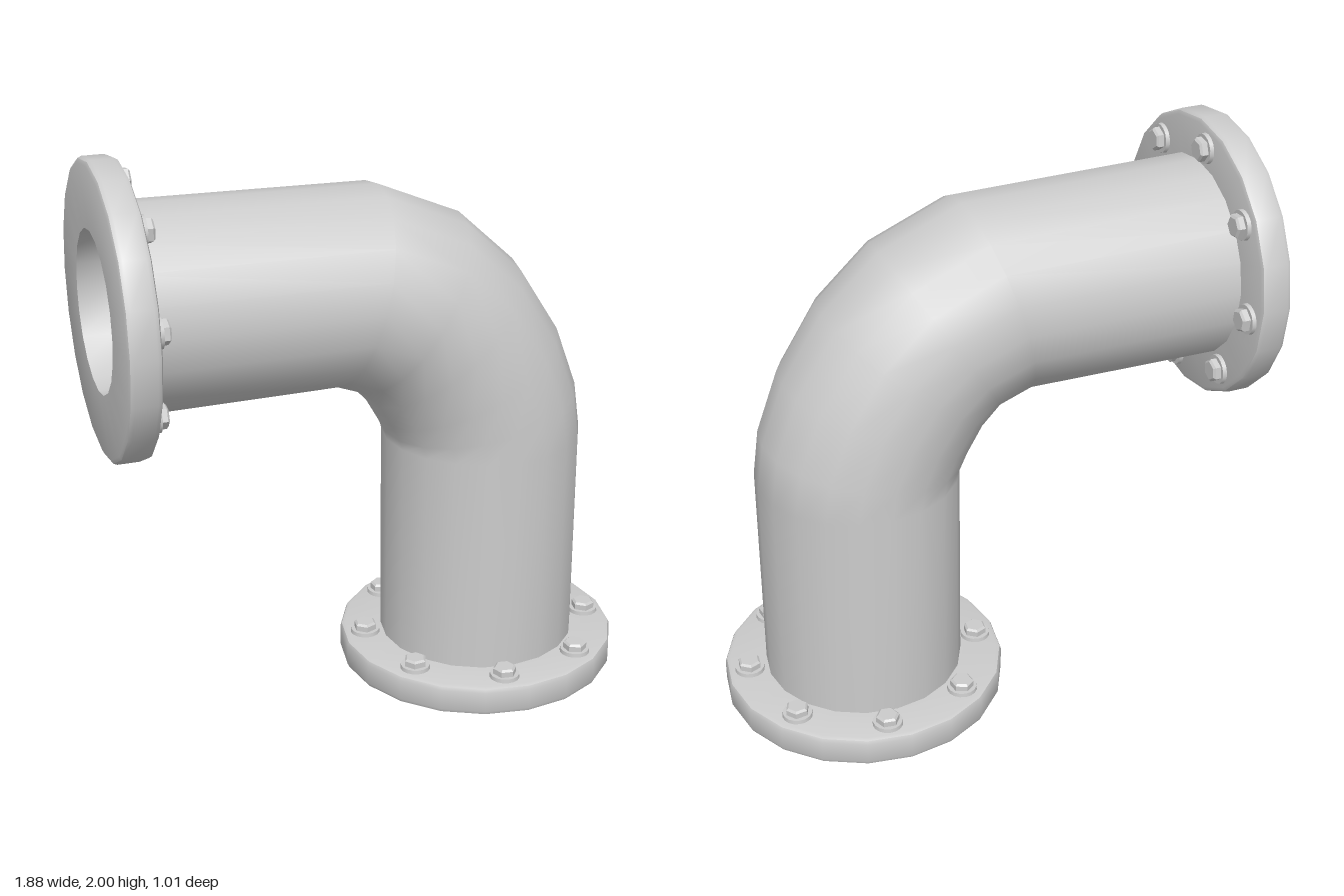
import * as THREE from 'three';
import { toCreasedNormals } from 'three/addons/utils/BufferGeometryUtils.js';

const SIDES = 20;
const steel = new THREE.MeshStandardMaterial({ color: 0xcccccc });
const thinSteel = new THREE.MeshStandardMaterial({ color: 0xcccccc, side: THREE.DoubleSide });
const facetedSteel = new THREE.MeshStandardMaterial({ color: 0xcccccc, flatShading: true });

function part(name, geometry, material, y = 0) {
  const mesh = new THREE.Mesh(geometry, material);
  mesh.name = name;
  mesh.position.y = y;
  return mesh;
}

// Elbow pipe: each section runs from the outside to the inside of the bend
function pipeGeometry() {
  const sections = [
    [0.788, 0.06, 0.078, 0.06],
    [0.788, 0.90, 0.078, 0.90],
    [0.765, 1.07, 0.07, 0.93],
    [0.685, 1.29, 0.045, 0.98],
    [0.54, 1.52, 0.0, 1.06],
    [0.335, 1.71, -0.05, 1.115],
    [0.04, 1.835, -0.145, 1.15],
    [-0.88, 1.85, -0.88, 1.14],
  ];
  const positions = [];
  const index = [];
  sections.forEach(([ox, oy, ix, iy], i) => {
    for (let j = 0; j < SIDES; j++) {
      const t = (j / SIDES) * Math.PI * 2;
      const k = (1 + Math.cos(t)) / 2;
      positions.push(ix + (ox - ix) * k, iy + (oy - iy) * k, 0.355 * Math.sin(t));
      if (i === sections.length - 1) continue;
      const a = i * SIDES + j;
      const b = i * SIDES + ((j + 1) % SIDES);
      index.push(a, a + SIDES, b, b, a + SIDES, b + SIDES);
    }
  });
  const geometry = new THREE.BufferGeometry();
  geometry.setAttribute('position', new THREE.Float32BufferAttribute(positions, 3));
  geometry.setIndex(index);
  geometry.computeVertexNormals();
  return geometry;
}

// Hex bolt with a round washer and a chamfered head
function createBolt() {
  const bolt = new THREE.Group();
  bolt.name = 'bolt';
  bolt.add(
    part('washer', new THREE.CylinderGeometry(0.052, 0.054, 0.016, 16), steel, 0.006),
    part('boltHead', new THREE.CylinderGeometry(0.042, 0.042, 0.024, 6), facetedSteel, 0.022),
    part('boltChamfer', new THREE.CylinderGeometry(0.034, 0.042, 0.007, 6), facetedSteel, 0.0375),
  );
  return bolt;
}

// Bored flange with bevelled rim and a circle of eight bolts on its inner face
function createFlange(name) {
  const flange = new THREE.Group();
  flange.name = name;
  const r = 0.505, h = 0.11, bevel = 0.018, bore = 0.275;
  const profile = [
    [bore, 0], [r - bevel, 0], [r - bevel * 0.3, bevel * 0.3], [r, bevel],
    [r, h - bevel], [r - bevel * 0.3, h - bevel * 0.3], [r - bevel, h], [bore, h], [bore, 0],
  ].map(([x, y]) => new THREE.Vector2(x, y));
  flange.add(part('flangeRing', toCreasedNormals(new THREE.LatheGeometry(profile, SIDES), 0.6), steel));
  for (let i = 0; i < 8; i++) {
    const a = THREE.MathUtils.degToRad(8 + 45 * i);
    const bolt = createBolt();
    bolt.position.set(0.42 * Math.cos(a), h, 0.42 * Math.sin(a));
    bolt.rotation.y = -a;
    flange.add(bolt);
  }
  return flange;
}

export function createModel() {
  const model = new THREE.Group();
  model.name = 'pipeElbow';
  model.add(part('elbowPipe', pipeGeometry(), thinSteel));

  const bottom = createFlange('bottomFlange');
  bottom.position.set(0.433, 0, 0);
  const side = createFlange('sideFlange');
  side.position.set(-0.938, 1.495, 0);
  side.rotation.z = -Math.PI / 2;
  model.add(bottom, side);
  return model;
}
